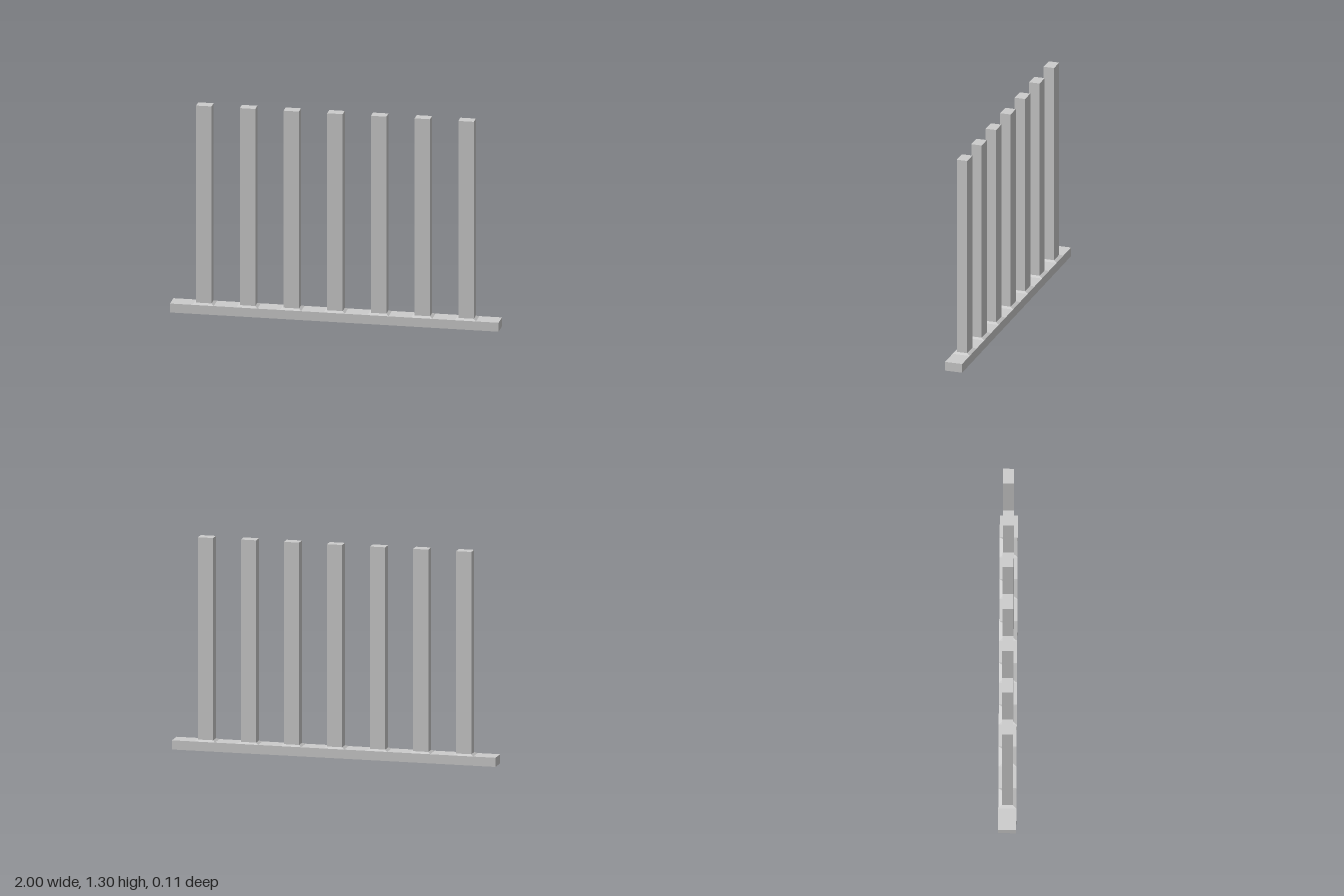
import * as THREE from 'three';

const material = new THREE.MeshStandardMaterial({ color: 0xcccccc, flatShading: true });

const RAIL = { width: 2, height: 0.056, depth: 0.108 };
const POST = { width: 0.094, depth: 0.066, top: 1.3 };
const FOOT = { width: 0.128, height: 0.009 };
const COUNT = 7;
const SPACING = 0.266;

// Box standing on height y, its top optionally narrowed to another width and depth
function block(name, width, height, depth, y, topWidth = width, topDepth = depth) {
  const geometry = new THREE.BoxGeometry(width, height, depth);
  geometry.translate(0, height / 2, 0);
  const p = geometry.attributes.position;
  for (let i = 0; i < p.count; i++) {
    if (p.getY(i) > height / 2) {
      p.setX(i, p.getX(i) * topWidth / width);
      p.setZ(i, p.getZ(i) * topDepth / depth);
    }
  }
  geometry.computeVertexNormals();
  const mesh = new THREE.Mesh(geometry, material);
  mesh.name = name;
  mesh.position.y = y;
  return mesh;
}

export function createModel() {
  const model = new THREE.Group();
  model.name = 'postFence';

  // Base rail
  model.add(block('baseRail', RAIL.width, RAIL.height, RAIL.depth, 0));

  // Row of posts, each on a shallow flared foot
  const footTop = RAIL.height + FOOT.height;
  for (let i = 0; i < COUNT; i++) {
    const post = new THREE.Group();
    post.name = `post${i + 1}`;
    post.position.x = (i - (COUNT - 1) / 2) * SPACING;
    post.add(
      block('flaredFoot', FOOT.width, FOOT.height, RAIL.depth, RAIL.height, POST.width, POST.depth),
      block('postShaft', POST.width, POST.top - footTop, POST.depth, footTop)
    );
    model.add(post);
  }
  return model;
}
